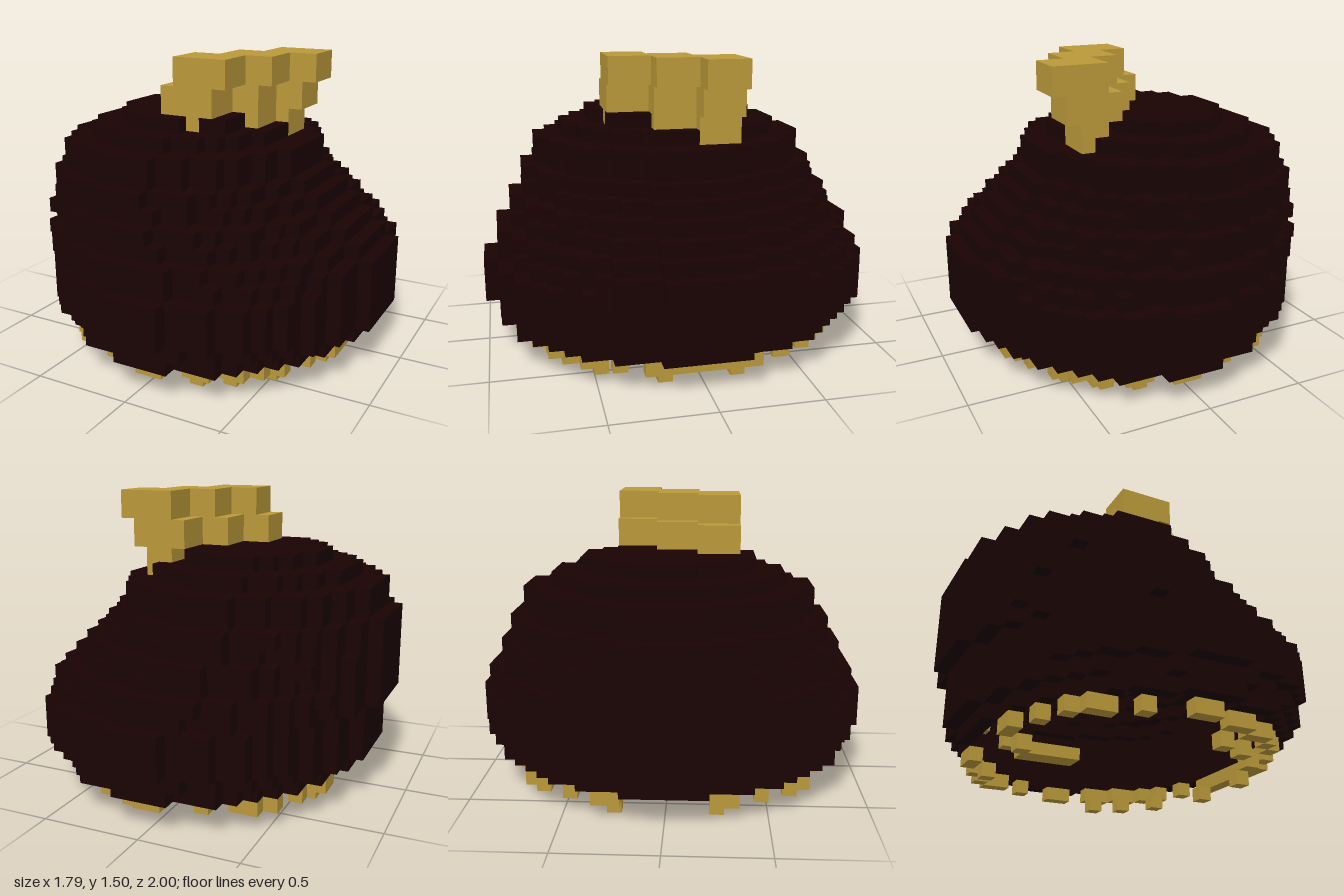
import * as THREE from 'three';

const H = 1 / 14;            // edge of one cube
const NX = 25, NZ = 28;      // grid size in plan

const key = (x, y, z) => `${x},${y},${z}`;

// Surface mesh of a set of cubes; faces touching a neighbour are left out
function cubeMesh(cells, material, name) {
  const pos = [], nor = [], idx = [];
  for (const k of cells) {
    const c = k.split(',').map(Number);
    for (let axis = 0; axis < 3; axis++) for (const s of [-1, 1]) {
      const n = [0, 0, 0];
      n[axis] = s;
      if (cells.has(key(c[0] + n[0], c[1] + n[1], c[2] + n[2]))) continue;
      const u = (axis + 1) % 3, v = (axis + 2) % 3, base = pos.length / 3;
      for (const [a, b] of [[0, 0], [1, 0], [1, 1], [0, 1]]) {
        const p = [...c];
        p[axis] += s > 0 ? 1 : 0;
        p[u] += a;
        p[v] += b;
        pos.push((p[0] - NX / 2) * H, p[1] * H, (p[2] - NZ / 2) * H);
        nor.push(...n);
      }
      const o = s > 0 ? [0, 1, 2, 0, 2, 3] : [0, 2, 1, 0, 3, 2];
      idx.push(...o.map(i => base + i));
    }
  }
  const g = new THREE.BufferGeometry();
  g.setAttribute('position', new THREE.Float32BufferAttribute(pos, 3));
  g.setAttribute('normal', new THREE.Float32BufferAttribute(nor, 3));
  g.setIndex(idx);
  const mesh = new THREE.Mesh(g, material);
  mesh.name = name;
  return mesh;
}

// Run a callback over an elliptical layer from x0 to x1 with half depth rz
function ellipseLayer(x0, x1, rz, fn) {
  const cx = (x0 + x1) / 2, rx = (x1 - x0) / 2;
  for (let x = x0; x < x1; x++) for (let z = 0; z < NZ; z++) {
    const dx = (x + 0.5 - cx) / rx, dz = (z + 0.5 - NZ / 2) / rz;
    if (dx * dx + dz * dz <= 0.97) fn(x, z);
  }
}

function fillBlock(cells, x0, x1, y0, y1, z0, z1) {
  for (let x = x0; x < x1; x++)
    for (let y = y0; y < y1; y++)
      for (let z = z0; z < z1; z++) cells.add(key(x, y, z));
}

// True when a cube is enclosed on its sides and top (the underside is open)
function enclosed(cells, k) {
  const [x, y, z] = k.split(',').map(Number);
  return [[1, 0, 0], [-1, 0, 0], [0, 1, 0], [0, 0, 1], [0, 0, -1]]
    .every(([a, b, c]) => cells.has(key(x + a, y + b, z + c)))
    && (y === 2 || cells.has(key(x, y - 1, z)));
}

export function createModel() {
  const hide = new THREE.MeshStandardMaterial({ color: 0x1a0202 });
  hide.name = 'dark brown';
  const gold = new THREE.MeshStandardMaterial({ color: 0xba993a });
  gold.name = 'gold';
  const group = new THREE.Group();
  group.name = 'model';

  // Domed body: [left, right, half depth] per layer, starting at layer 2
  const layers = [
    [2, 24, 13], [1, 25, 13], [1, 25, 14], [1, 25, 14], [1, 25, 14],
    [0, 25, 13], [0, 24, 13], [0, 23, 12], [0, 22, 12], [0, 21, 11],
    [0, 20, 11], [1, 19, 10], [1, 19, 10], [3, 17, 8], [5, 15, 6],
  ];
  const solid = new Set();
  layers.forEach(([a, b, rz], i) =>
    ellipseLayer(a, b, rz, (x, z) => solid.add(key(x, i + 2, z))));

  // Hollow inside, leaving a thin shell
  const body = new Set([...solid].filter(k => !enclosed(solid, k)));

  // Notch and ledge where the crest is rooted
  for (const z of [18, 19]) body.delete(key(12, 16, z));
  fillBlock(body, 13, 15, 16, 17, 16, 19);

  // Crest: three stepped blocks leaning to the side, on short stems
  const crest = new Set();
  for (let i = 0; i < 3; i++) {
    const x = 10 + 2 * i, z = 16 - 3 * i;
    fillBlock(crest, x + 1, x + 5, 19, 21, z, z + 3);
    fillBlock(crest, x, x + 4, 17, 19, z, z + 3);
  }
  fillBlock(crest, 12, 13, 16, 17, 16, 19);
  fillBlock(crest, 14, 16, 16, 17, 13, 16);
  fillBlock(crest, 15, 17, 15, 17, 10, 13);
  for (const k of crest) body.delete(k);

  // Teeth around the rim and a lower row inside it, mirrored front to back
  const teeth = new Set();
  const rimTeeth = [[21, 8], [20, 6], [19, 5], [18, 4], [17, 4], [16, 3], [15, 3],
    [13, 2], [12, 2], [9, 3], [7, 4], [6, 4], [5, 5], [4, 7], [3, 9], [3, 10]];
  const lowTeeth = [[15, 4], [17, 5], [19, 7], [21, 11], [4, 10]];
  for (const [list, y] of [[rimTeeth, 1], [lowTeeth, 0]])
    for (const [x, z] of list) {
      teeth.add(key(x, y, z));
      teeth.add(key(x, y, NZ - 1 - z));
    }
  fillBlock(teeth, 22, 23, 1, 2, 10, 18);

  // Gold studs and a bar on the inner wall
  const studs = new Set();
  for (const [x, y, z] of [[7, 4, 22], [4, 4, 19], [3, 4, 17], [6, 8, 22]]) {
    studs.add(key(x, y, z));
    studs.add(key(x, y, NZ - 1 - z));
  }
  fillBlock(studs, 9, 14, 4, 5, 23, 25);
  fillBlock(studs, 9, 14, 4, 5, 3, 5);
  for (const k of studs) body.delete(k);

  group.add(
    cubeMesh(body, hide, 'body'),
    cubeMesh(crest, gold, 'crest'),
    cubeMesh(teeth, gold, 'teeth'),
    cubeMesh(studs, gold, 'innerStuds'),
  );
  return group;
}
